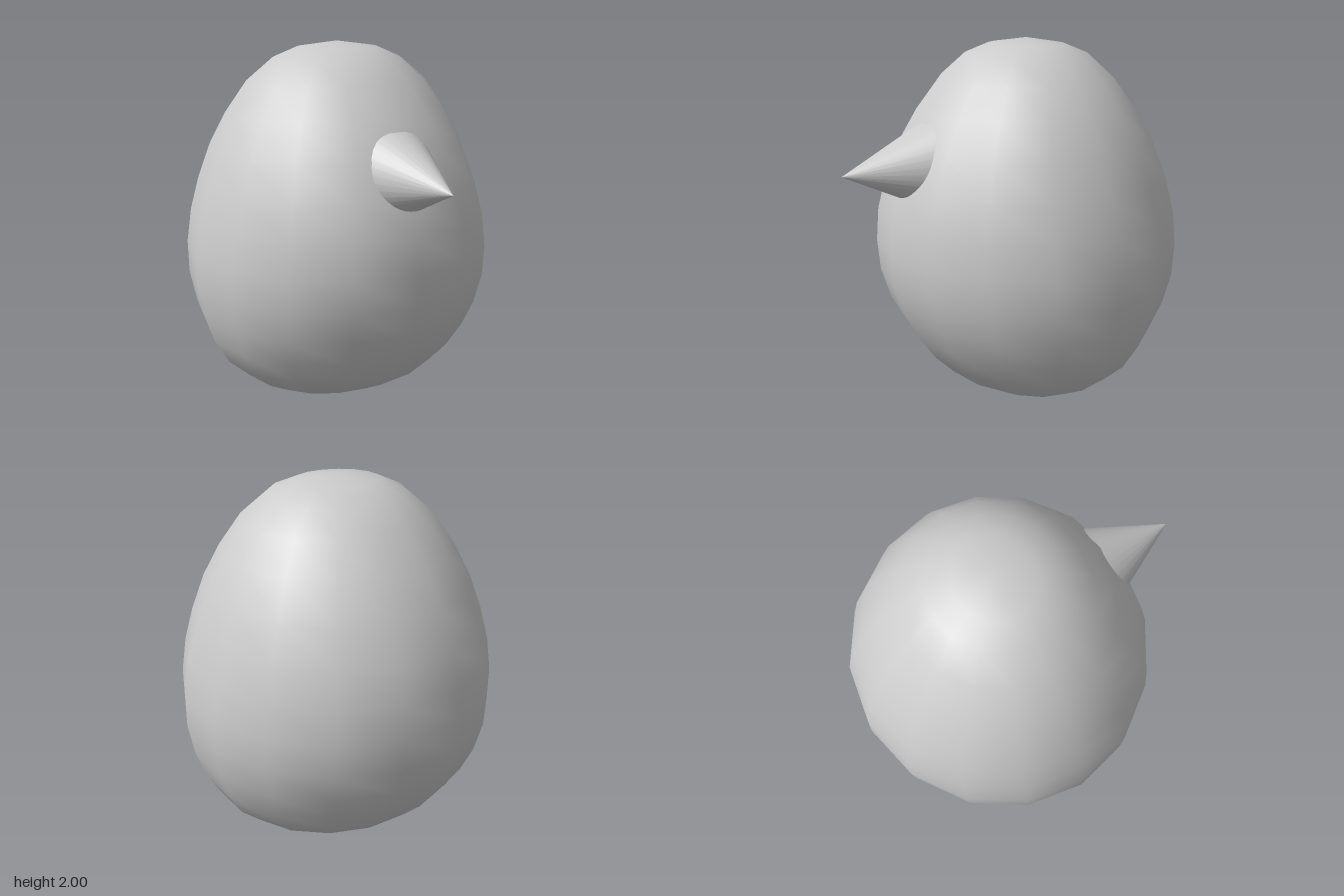
import * as THREE from 'three';
import { mergeVertices } from 'three/addons/utils/BufferGeometryUtils.js';

// Body rings from bottom to top: [height, half width, half depth]
const RINGS = [
  [0.005, 0, 0], [0.035, 0.26, 0.195], [0.08, 0.43, 0.335], [0.16, 0.57, 0.475],
  [0.27, 0.69, 0.585], [0.41, 0.77, 0.68], [0.56, 0.82, 0.76], [0.73, 0.85, 0.815],
  [0.905, 0.85, 0.832], [1.09, 0.82, 0.82], [1.27, 0.77, 0.775], [1.46, 0.70, 0.695],
  [1.63, 0.61, 0.594], [1.795, 0.495, 0.467], [1.915, 0.35, 0.335], [1.97, 0.225, 0.197],
  [2, 0, 0],
];
const SIDES = 16;
const BODY_Z = -0.123;

// Egg-shaped lathe whose depth is adjusted ring by ring
function bodyGeometry() {
  const profile = RINGS.map(([y, halfWidth]) => new THREE.Vector2(halfWidth, y));
  const geometry = new THREE.LatheGeometry(profile, SIDES);
  const position = geometry.attributes.position;
  for (let i = 0; i < position.count; i++) {
    const [, halfWidth, halfDepth] = RINGS[i % RINGS.length];
    if (halfWidth > 0) position.setZ(i, position.getZ(i) * halfDepth / halfWidth);
  }
  // Weld the seam and poles so the shading is smooth all round
  geometry.deleteAttribute('normal');
  geometry.deleteAttribute('uv');
  const welded = mergeVertices(geometry, 1e-4);
  welded.computeVertexNormals();
  return welded;
}

export function createModel() {
  const group = new THREE.Group();
  group.name = 'eggBird';
  const material = new THREE.MeshStandardMaterial({ color: 0xcccccc });

  const body = new THREE.Mesh(bodyGeometry(), material);
  body.name = 'body';
  body.position.z = BODY_Z;
  group.add(body);

  // Pointed beak, its base sunk into the body
  const tip = 0.955, length = 0.58;
  const beak = new THREE.Mesh(new THREE.ConeGeometry(0.28, length, 32), material);
  beak.name = 'beak';
  beak.rotation.x = Math.PI / 2;
  beak.position.set(0, 1.367, tip - length / 2);
  group.add(beak);

  return group;
}
